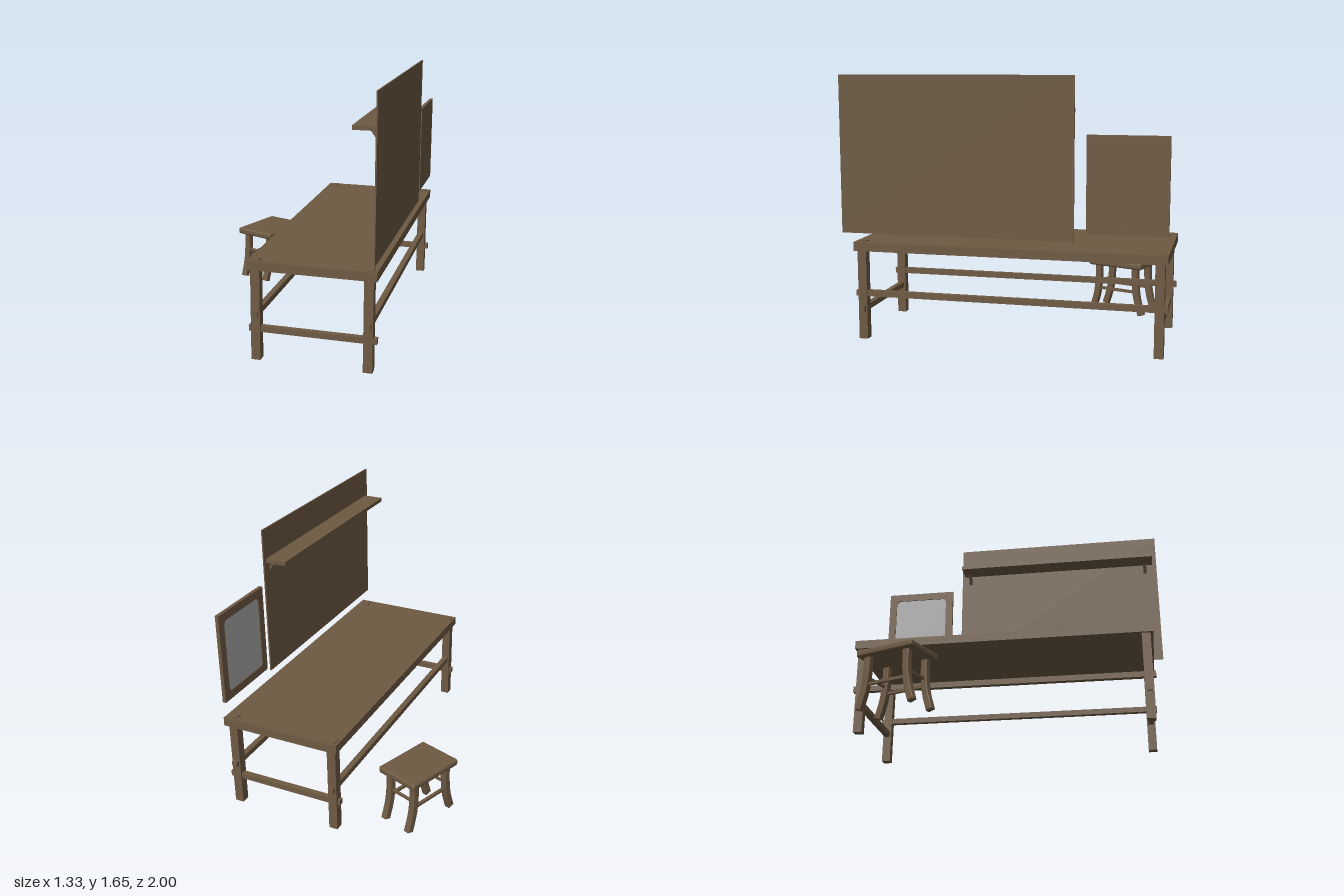
import * as THREE from 'three';
import { RoundedBoxGeometry } from 'three/addons/geometries/RoundedBoxGeometry.js';

export function createModel() {
  const wood = new THREE.MeshStandardMaterial({ color: 0x6e5a43 });
  wood.name = 'wood';
  const glass = new THREE.MeshStandardMaterial({ color: 0xaaaaaa });
  glass.name = 'mirrorGlass';

  const group = (name, parent) => {
    const g = new THREE.Group();
    g.name = name;
    if (parent) parent.add(g);
    return g;
  };
  const add = (parent, name, geometry, material = wood) => {
    const m = new THREE.Mesh(geometry, material);
    m.name = name;
    parent.add(m);
    return m;
  };
  // Box given by its minimum and maximum on each axis
  const box = (parent, name, [x0, x1], [y0, y1], [z0, z1]) => {
    const m = add(parent, name, new THREE.BoxGeometry(x1 - x0, y1 - y0, z1 - z0));
    m.position.set((x0 + x1) / 2, (y0 + y1) / 2, (z0 + z1) / 2);
    return m;
  };
  const around = (c, size) => [c - size / 2, c + size / 2];

  const model = group('workshopFurniture');

  // Table: legs and rails run through as exposed tenons
  const table = group('table', model);
  const spanX = [-0.105, 0.665], spanZ = [-1, 0.93];
  const legX = [-0.06, 0.615], legZ = [-0.952, 0.885];
  box(table, 'tableTop', spanX, [0.57, 0.625], spanZ);
  for (const x of legX) {
    for (const z of legZ) box(table, 'tableLeg', around(x, 0.056), [0.008, 0.632], around(z, 0.056));
    box(table, 'longRail', around(x, 0.036), [0.28, 0.316], spanZ);
  }
  for (const z of legZ) box(table, 'crossRail', spanX, [0.183, 0.219], around(z, 0.036));

  // Wall panel with a shelf on diagonal brackets
  const wall = group('wallPanelAndShelf', model);
  box(wall, 'wallPanel', [0.656, 0.665], [0.683, 1.65], [-0.45, 1]);
  box(wall, 'shelf', [0.52, 0.657], [1.431, 1.456], [-0.43, 0.97]);
  const brace = new THREE.Shape([[0.608, 1.432], [0.628, 1.432], [0.657, 1.392], [0.657, 1.362]]
    .map(([x, y]) => new THREE.Vector2(x, y)));
  for (const z of [-0.385, 0.915]) {
    const b = add(wall, 'shelfBracket', new THREE.ExtrudeGeometry(brace, { depth: 0.022, bevelEnabled: false }));
    b.position.z = z - 0.011;
  }

  // Wall mirror facing the table: frame, backing and recessed glass
  const mirror = group('mirror', model);
  mirror.position.set(0.66, 1.022, -0.76);
  mirror.rotation.y = -Math.PI / 2;
  const clipped = (w, h, c) => [[w - c, h], [w, h - c], [w, c - h], [w - c, -h],
    [c - w, -h], [-w, c - h], [-w, h - c], [c - w, h]].map(([x, y]) => new THREE.Vector2(x, y));
  const outline = new THREE.Shape([[-0.24, -0.288], [0.24, -0.288], [0.24, 0.288], [-0.24, 0.288]]
    .map(([x, y]) => new THREE.Vector2(x, y)));
  outline.holes.push(new THREE.Path(clipped(0.188, 0.235, 0.02)));
  add(mirror, 'mirrorFrame', new THREE.ExtrudeGeometry(outline, { depth: 0.023, bevelEnabled: false }));
  box(mirror, 'mirrorBack', [-0.239, 0.239], [-0.287, 0.287], [0, 0.01]);
  const pane = add(mirror, 'mirrorPane', new THREE.ShapeGeometry(new THREE.Shape(clipped(0.188, 0.235, 0.02).reverse())), glass);
  pane.position.z = 0.016;

  // Stool, turned to the table
  const stool = group('stool', model);
  stool.position.set(-0.4625, 0, -0.608);
  stool.rotation.y = -0.349;
  const seat = add(stool, 'stoolSeat', new RoundedBoxGeometry(0.295, 0.044, 0.4, 3, 0.014));
  seat.position.y = 0.351;

  // Leg side profile: a strip following an outward sweeping curve
  const path = new THREE.CatmullRomCurve3([[0.139, 0.335], [0.141, 0.23], [0.154, 0.12], [0.186, 0.013]]
    .map(([x, y]) => new THREE.Vector3(x, y, 0)));
  const outer = [], inner = [];
  for (let i = 0; i <= 8; i++) {
    const p = path.getPoint(i / 8), t = path.getTangent(i / 8);
    outer.push(new THREE.Vector2(p.x - t.y * 0.016, p.y + t.x * 0.016));
    inner.push(new THREE.Vector2(p.x + t.y * 0.016, p.y - t.x * 0.016));
  }
  const legGeometry = new THREE.ExtrudeGeometry(new THREE.Shape([...outer, ...inner.reverse()]),
    { depth: 0.03, bevelSize: 0.006, bevelThickness: 0.006, bevelSegments: 2 });
  legGeometry.translate(0, 0, -0.015);
  legGeometry.rotateY(-Math.PI / 2);
  for (const end of [-1, 1]) {
    for (const side of [-1, 1]) {
      const leg = add(stool, 'stoolLeg', legGeometry);
      leg.position.x = side * 0.097;
      if (end < 0) leg.rotation.y = Math.PI;
    }
    box(stool, 'shortStretcher', [-0.097, 0.097], around(0.205, 0.015), around(end * 0.143, 0.015));
    box(stool, 'longStretcher', around(end * 0.097, 0.018), around(0.163, 0.018), [-0.15, 0.15]);
  }
  return model;
}
